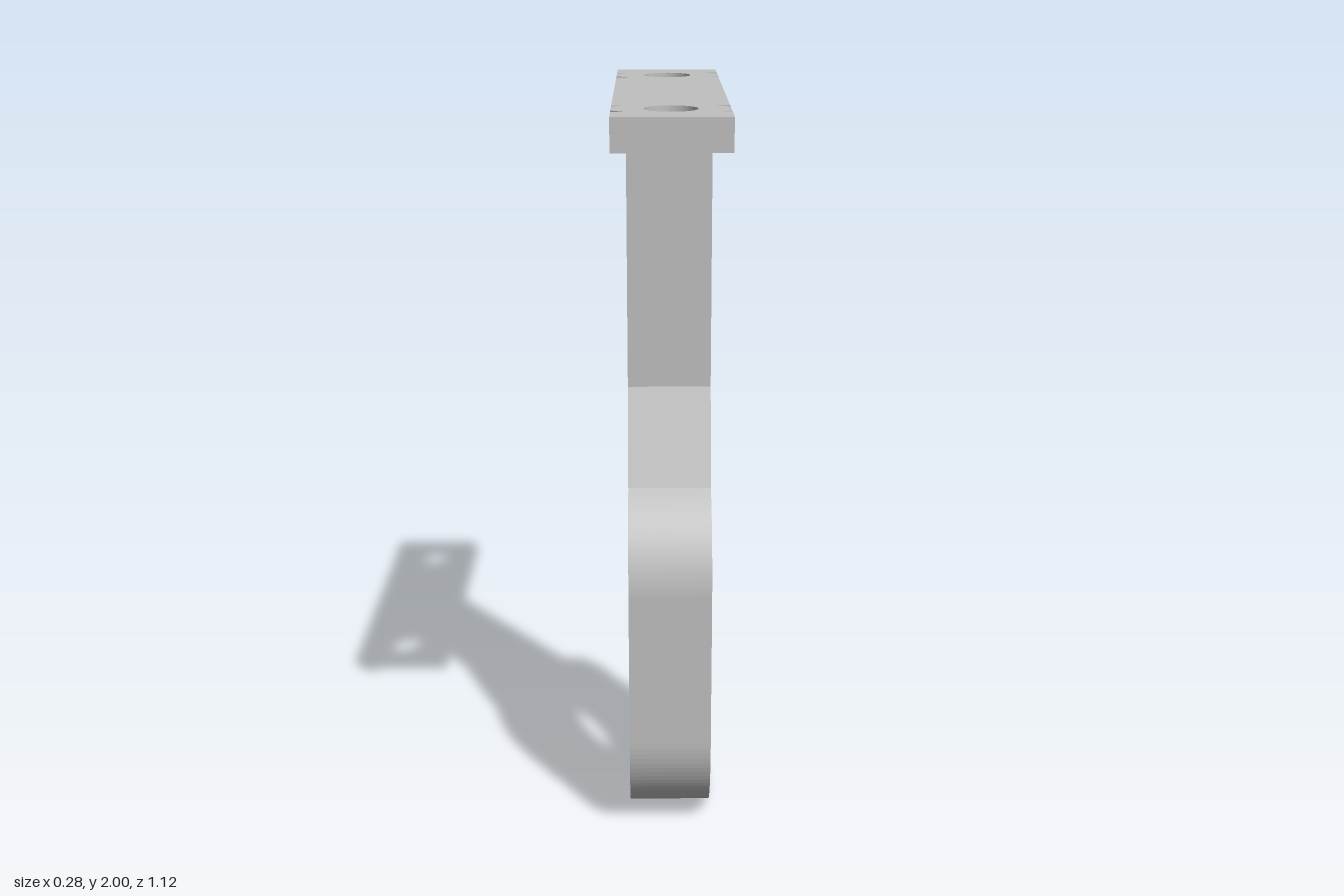
import * as THREE from 'three';

const metal = new THREE.MeshStandardMaterial({ color: 0xc0c0c0, side: THREE.DoubleSide });
metal.name = 'grey metal';

function part(name, geometry) {
  const mesh = new THREE.Mesh(geometry, metal);
  mesh.name = name;
  return mesh;
}

// Column, flared neck and oval ring, cut from one side profile (shape x = z, shape y = y)
function hanger() {
  const width = 0.22, outer = 0.2925, inner = 0.208, highY = 0.72, lowY = 0.2925;
  const s = new THREE.Shape();
  const neck = Math.atan2(0.985 - highY, 0.125);
  s.moveTo(-0.068, 1.92);
  s.lineTo(0.068, 1.92);
  s.lineTo(0.068, 1.235);
  s.lineTo(0.167, 0.985);
  s.absarc(0.0015, highY, outer, neck, 0, true);
  s.lineTo(0.294, 0.5);
  s.lineTo(0.2895, 0.5);
  s.absarc(-0.003, lowY, outer, 0, -Math.PI, true);
  s.lineTo(-0.2955, 0.5);
  s.lineTo(-0.291, 0.5);
  s.absarc(0.0015, highY, outer, Math.PI, Math.PI - neck, true);
  s.lineTo(-0.167, 0.985);
  s.closePath();

  const opening = new THREE.Path();
  opening.absarc(0, highY, inner, 0, Math.PI, false);
  opening.absarc(0, 0.29, inner, Math.PI, Math.PI * 2, false);
  opening.closePath();
  s.holes.push(opening);

  const g = new THREE.ExtrudeGeometry(s, { depth: width, bevelEnabled: false, curveSegments: 28 });
  g.translate(0, 0, -width / 2);
  g.rotateY(-Math.PI / 2);
  return part('hanger', g);
}

// Mounting plate with two screw holes and small edge nicks beside them
function plate() {
  const w = 0.14, l = 0.56, tip = 0.11, h = 0.08;
  // one long edge, from -z to +z, as [half width, position]
  const half = [[w, 0.335], [tip, 0.335], [w, 0.36], [w, 0.437], [tip, 0.463], [w, 0.463], [w, l]];
  const edge = [...half.map(([x, y]) => [x, -y]).reverse(), ...half];
  const outline = [...edge, ...edge.map(([x, y]) => [-x, -y])];
  const s = new THREE.Shape(outline.map(([x, y]) => new THREE.Vector2(x, y)));
  for (const z of [-0.399, 0.399]) {
    const hole = new THREE.Path();
    hole.absarc(0, z, 0.064, 0, Math.PI * 2, true);
    s.holes.push(hole);
  }
  const g = new THREE.ExtrudeGeometry(s, { depth: h, bevelEnabled: false, curveSegments: 32 });
  g.rotateX(-Math.PI / 2);
  g.translate(0, 1.92, 0);

  const group = new THREE.Group();
  group.name = 'mountingPlate';
  group.add(part('plate', g));
  // Side skins that close the nicks along the long edges
  for (const x of [-1, 1]) for (const z of [-0.45, -0.3475, 0.3475, 0.45]) {
    const skin = part('nickSkin', new THREE.PlaneGeometry(0.026, h));
    skin.rotation.y = x * Math.PI / 2;
    skin.position.set(x * w, 1.96, z);
    group.add(skin);
  }
  return group;
}

export function createModel() {
  const model = new THREE.Group();
  model.name = 'railBracket';
  model.add(hanger(), plate());
  return model;
}
